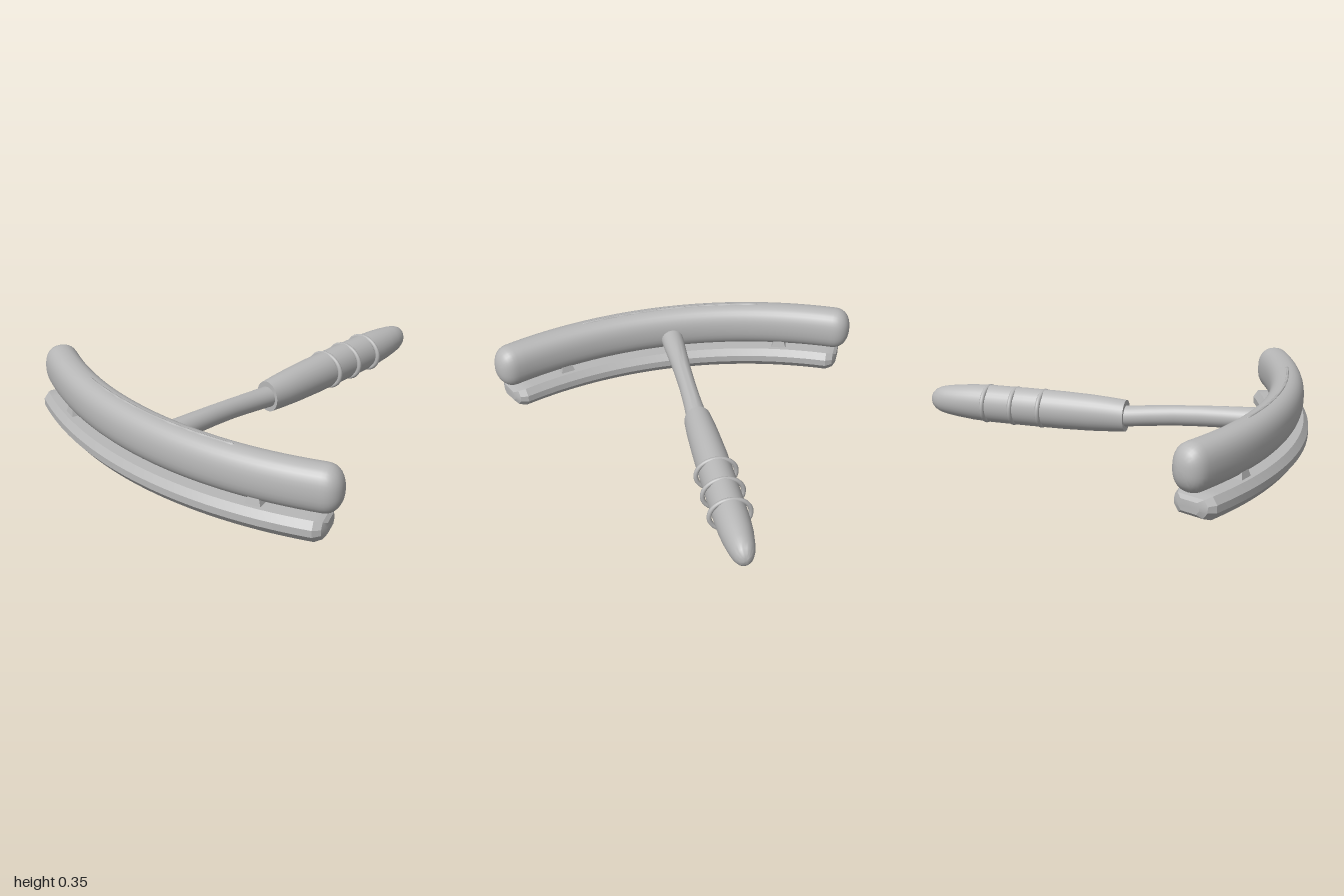
import * as THREE from 'three';
import { toCreasedNormals } from 'three/addons/utils/BufferGeometryUtils.js';

const ARC_R = 2.13, ARC_Z = 0.877; // radius and front point of the head's arc
const V = (x, y, z) => new THREE.Vector3(x, y, z);

// Skin a list of equal closed rings and close both ends
function loft(rings, crease) {
  const n = rings[0].length, pts = rings.flat(), idx = [];
  for (let i = 0; i < rings.length - 1; i++) {
    for (let j = 0; j < n; j++) {
      const a = i * n + j, b = i * n + (j + 1) % n;
      idx.push(a, a + n, b, b, a + n, b + n);
    }
  }
  const mid = (ring) => ring.reduce((s, p) => s.add(p), V(0, 0, 0)).divideScalar(n);
  const first = pts.length, base = (rings.length - 1) * n;
  pts.push(mid(rings[0]), mid(rings[rings.length - 1]));
  for (let j = 0; j < n; j++) {
    const k = (j + 1) % n;
    idx.push(first, j, k, first + 1, base + k, base + j);
  }
  const g = new THREE.BufferGeometry().setFromPoints(pts);
  g.setIndex(idx);
  return toCreasedNormals(g, crease);
}

// Rounded section, in half sizes; power 2 is an ellipse
function oval(w, h, n, power) {
  return Array.from({ length: n }, (_, j) => {
    const a = (j / n) * Math.PI * 2, c = Math.cos(a), s = Math.sin(a), e = 2 / power;
    return [Math.sign(c) * w * Math.abs(c) ** e, Math.sign(s) * h * Math.abs(s) ** e];
  });
}

// Sweep a section along the arc; caps lists [length past the end, scale]
function arcSweep(section, y, half, caps, steps, crease) {
  const ring = (angle, along, scale) => section.map(([u, v]) => {
    const r = ARC_R + u * scale, s = Math.sin(angle), c = Math.cos(angle);
    return V(s * r + c * along, y + v * scale, ARC_Z - ARC_R + c * r - s * along);
  });
  const rings = [...caps].reverse().map(([d, s]) => ring(-half, -d, s));
  for (let i = 0; i <= steps; i++) rings.push(ring(half * (2 * i / steps - 1), 0, 1));
  caps.forEach(([d, s]) => rings.push(ring(half, d, s)));
  return loft(rings, crease);
}

// Sweep ellipses backward along z; stations are [z, y, half width, half height]
function rod(stations) {
  return loft(stations.map(([z, y, w, h]) => oval(w, h, 32, 2).map(([a, b]) => V(a, y + b, z))), 0.9);
}

export function createModel() {
  const model = new THREE.Group();
  const grey = new THREE.MeshStandardMaterial({ color: 0xb8b8b8 });
  grey.name = 'plain grey';
  const add = (name, geometry) => {
    const mesh = new THREE.Mesh(geometry, grey);
    mesh.name = name;
    model.add(mesh);
    return mesh;
  };

  // Curved upper bar with rounded ends
  const round = [];
  for (let i = 1; i <= 8; i++) {
    const a = (i / 8) * Math.PI * 0.49;
    round.push([0.09 * Math.sin(a) ** 0.9, Math.cos(a) ** 0.9]);
  }
  add('headBar', arcSweep(oval(0.088, 0.115, 32, 2.35), 0.23, 0.438, round, 36, 0.8));

  // Raised line along the top of the bar
  add('topRidge', arcSweep(oval(0.008, 0.008, 8, 2), 0.342, 0.231, [[0.01, 0.4]], 24, 0.9));

  // Bevelled lower plate
  const bevel = [[0.117, -0.015], [0.117, 0.02], [0.092, 0.055], [-0.092, 0.055],
    [-0.117, 0.02], [-0.117, -0.015], [-0.085, -0.055], [0.085, -0.055]];
  add('lowerPlate', arcSweep(bevel, 0.055, 0.4285, [[0.035, 0.8], [0.05, 0.5]], 30, 0.45));

  // Tapered clips between plate and bar
  for (const side of [-1, 1]) {
    const angle = side * Math.asin(0.62 / ARC_R);
    const g = new THREE.BoxGeometry(0.085, 0.06, 0.15);
    const p = g.attributes.position;
    for (let i = 0; i < p.count; i++) {
      if (p.getY(i) > 0) p.setXYZ(i, p.getX(i) * 0.55, p.getY(i), p.getZ(i) * 0.8);
    }
    g.computeVertexNormals();
    const clip = add(side > 0 ? 'leftClip' : 'rightClip', g);
    clip.position.set(Math.sin(angle) * ARC_R, 0.13, ARC_Z - ARC_R + Math.cos(angle) * ARC_R);
    clip.rotation.y = angle;
  }

  // Slim neck, dipping toward the handle
  add('neck', rod([
    [0.86, 0.2, 0.062, 0.057], [0.72, 0.196, 0.058, 0.055], [0.6, 0.191, 0.052, 0.054],
    [0.48, 0.185, 0.047, 0.053], [0.35, 0.176, 0.045, 0.052], [0.22, 0.163, 0.048, 0.053],
    [0.1, 0.15, 0.054, 0.054], [0.04, 0.148, 0.054, 0.054],
  ]));

  // Handle grip with a flat front and domed back end
  add('handle', rod([
    [0.09, 0.15, 0.07, 0.082], [0, 0.15, 0.077, 0.089], [-0.1, 0.15, 0.081, 0.095],
    [-0.25, 0.15, 0.085, 0.099], [-0.45, 0.15, 0.086, 0.1], [-0.65, 0.15, 0.085, 0.099],
    [-0.75, 0.15, 0.083, 0.095], [-0.83, 0.15, 0.077, 0.087], [-0.9, 0.15, 0.066, 0.078],
    [-0.94, 0.15, 0.057, 0.069], [-0.97, 0.15, 0.044, 0.055], [-0.988, 0.15, 0.029, 0.037],
    [-0.997, 0.15, 0.014, 0.018], [-1, 0.15, 0.001, 0.001],
  ]));

  // Grip rings
  [-0.36, -0.515, -0.67].forEach((z, i) => {
    const ring = add('gripRing' + (i + 1), new THREE.TorusGeometry(0.102, 0.012, 10, 40));
    ring.position.set(0, 0.15, z);
    ring.scale.y = 0.89;
  });

  return model;
}
